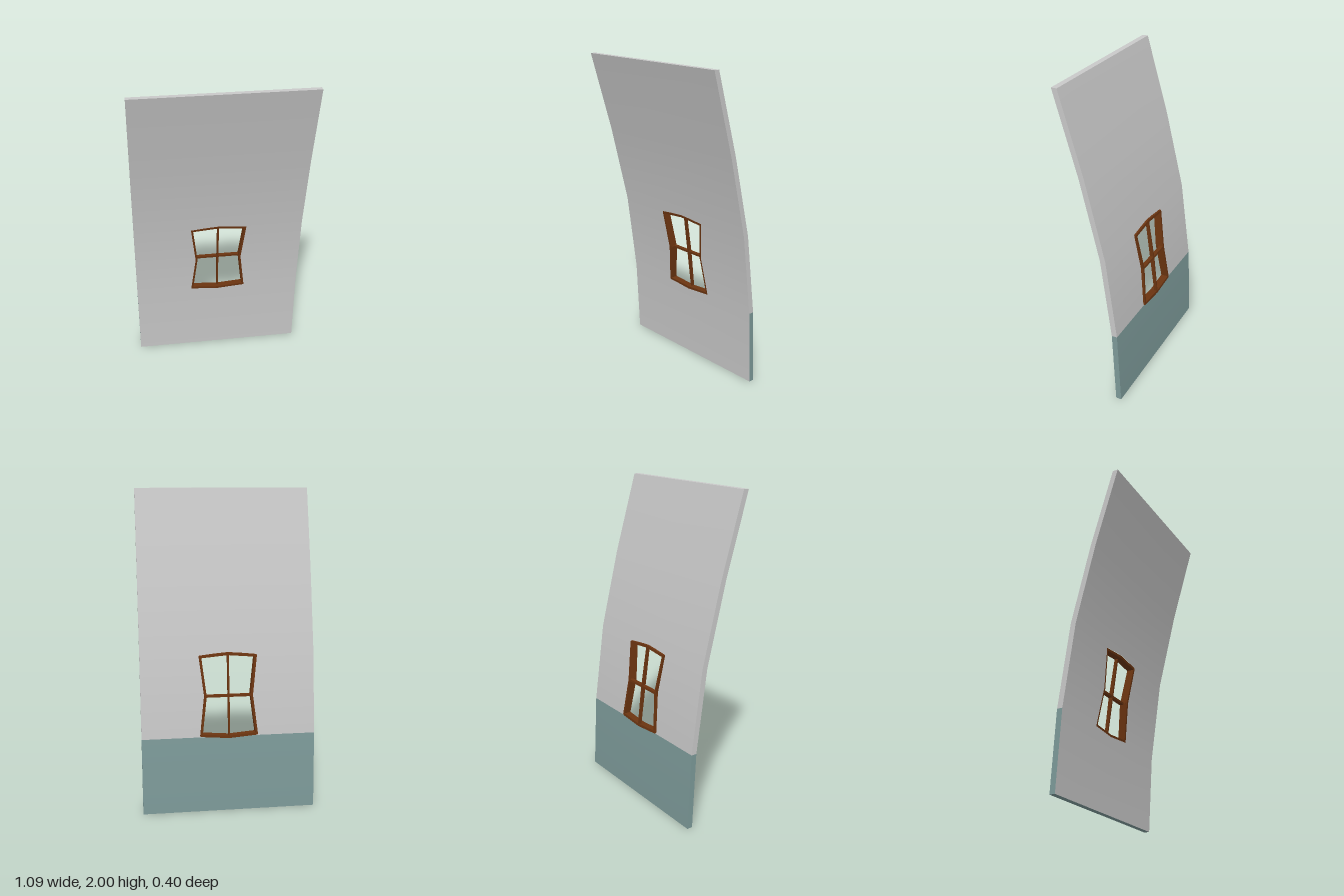
import * as THREE from 'three';

const HALF = 0.545, THICK = 0.035, BASE = 0.483;
// Curved profile: height, z of the back face, smoothed slope
const PROFILE = [
  [0, -0.2, 0.05], [BASE, -0.175, 0.093], [1, -0.105, 0.19], [1.5, 0.018, 0.27], [2, 0.165, 0.3],
];

function sample(y, column) {
  let i = 0;
  while (i < PROFILE.length - 2 && y > PROFILE[i + 1][0]) i++;
  const a = PROFILE[i], b = PROFILE[i + 1];
  return THREE.MathUtils.lerp(a[column], b[column], (y - a[0]) / (b[0] - a[0]));
}
const backZ = (y) => sample(y, 1);

const toShape = (points) => new THREE.Shape(points.map(([x, y]) => new THREE.Vector2(x, y)));
const mirror = (points) => points.map(([x, y]) => [-x, y]).reverse();

export function createModel() {
  const model = new THREE.Group();
  const plaster = new THREE.MeshStandardMaterial({ color: 0xc8c8c8 });
  const paint = new THREE.MeshStandardMaterial({ color: 0x7c9998 });
  const wood = new THREE.MeshStandardMaterial({ color: 0x6b3410 });
  plaster.name = 'grey plaster';
  paint.name = 'teal paint';
  wood.name = 'brown wood';

  function add(name, geometry, material, parent = model) {
    const mesh = new THREE.Mesh(geometry, material);
    mesh.name = name;
    parent.add(mesh);
    return mesh;
  }

  // Flat outlines bent onto the front (dir 1) or back (dir -1) of the wall
  function sheet(name, outlines, dir, material) {
    const geo = new THREE.ShapeGeometry(outlines.map(toShape));
    const pos = geo.attributes.position, nor = geo.attributes.normal;
    const n = new THREE.Vector3();
    for (let i = 0; i < pos.count; i++) {
      const y = pos.getY(i);
      pos.setZ(i, backZ(y) + (dir > 0 ? THICK : 0));
      n.set(0, -sample(y, 2), 1).normalize().multiplyScalar(dir);
      nor.setXYZ(i, n.x, n.y, n.z);
    }
    if (dir < 0) geo.index.array.reverse();
    add(name, geo, material);
  }

  // Wall faces, split at the profile bends and around the window opening
  const lower = [[-HALF, 0], [HALF, 0], [HALF, BASE], [0.09, BASE], [0, 0.475], [-0.09, BASE], [-HALF, BASE]];
  const beside = [[0.09, BASE], [HALF, BASE], [HALF, 1], [0.09, 1], [0.18, 0.99], [0.15, 0.74], [0.18, 0.49]];
  const above = [[-HALF, 1], [-0.09, 1], [0, 1.007], [0.09, 1], [HALF, 1], [HALF, 1.5], [-HALF, 1.5]];
  const top = [[-HALF, 1.5], [HALF, 1.5], [HALF, 2], [-HALF, 2]];
  const upper = [beside, mirror(beside), above, top];
  sheet('wallFront', [lower, ...upper], 1, plaster);
  sheet('wallBack', upper, -1, plaster);
  sheet('baseBack', [lower], -1, paint);

  // Side edges
  function edge(name, rows, side, material) {
    const back = rows.map(([y, z]) => [-z, y]);
    const front = rows.map(([y, z]) => [-z - THICK, y]).reverse();
    const geo = new THREE.ShapeGeometry(toShape([...back, ...front]));
    geo.rotateY(Math.PI / 2);
    if (side < 0) {
      geo.index.array.reverse();
      const nor = geo.attributes.normal;
      for (let i = 0; i < nor.count; i++) nor.setX(i, -nor.getX(i));
    }
    geo.translate(side * HALF, 0, 0);
    add(name, geo, material);
  }
  for (const [side, label] of [[1, 'left'], [-1, 'right']]) {
    edge(label + 'WallEdge', PROFILE.slice(1), side, plaster);
    edge(label + 'BaseEdge', PROFILE.slice(0, 2), side, paint);
  }

  // Top and bottom edges
  const topEdge = add('topEdge', new THREE.PlaneGeometry(HALF * 2, THICK), plaster);
  topEdge.rotation.x = -Math.PI / 2;
  topEdge.position.set(0, 2, backZ(2) + THICK / 2);
  const bottomEdge = add('bottomEdge', new THREE.PlaneGeometry(HALF * 2, THICK), paint);
  bottomEdge.rotation.x = Math.PI / 2;
  bottomEdge.position.set(0, 0, backZ(0) + THICK / 2);

  // Window bars: boxes whose front and back follow the curve of the wall
  const frame = new THREE.Group();
  frame.name = 'windowFrame';
  model.add(frame);
  const frameBack = (y) => (y < 0.74
    ? THREE.MathUtils.mapLinear(y, 0.475, 0.74, -0.187, -0.158)
    : THREE.MathUtils.mapLinear(y, 0.74, 1.005, -0.158, -0.116));

  function bar(name, [ax, ay], [bx, by], width, frontOffset) {
    const dx = bx - ax, dy = by - ay;
    let geo = new THREE.BoxGeometry(Math.hypot(dx, dy) + width * 0.6, width, 1);
    geo.rotateZ(Math.atan2(dy, dx));
    geo.translate((ax + bx) / 2, (ay + by) / 2, 0);
    const pos = geo.attributes.position;
    for (let i = 0; i < pos.count; i++) {
      const y = pos.getY(i);
      pos.setZ(i, pos.getZ(i) > 0 ? backZ(y) + frontOffset : frameBack(y));
    }
    geo = geo.toNonIndexed();
    geo.computeVertexNormals();
    add(name, geo, wood, frame);
  }

  const ring = [
    [0, 0.482], [0.174, 0.496], [0.145, 0.74], [0.174, 0.983],
    [0, 0.998], [-0.174, 0.983], [-0.145, 0.74], [-0.174, 0.496],
  ];
  ring.forEach((p, i) => bar('outerBar', p, ring[(i + 1) % ring.length], 0.015, THICK - 0.0008));
  bar('lowerMullion', ring[0], [0, 0.74], 0.011, 0.008);
  bar('upperMullion', [0, 0.74], ring[4], 0.011, 0.008);
  bar('crossBar', ring[6], ring[2], 0.013, 0.008);

  return model;
}
